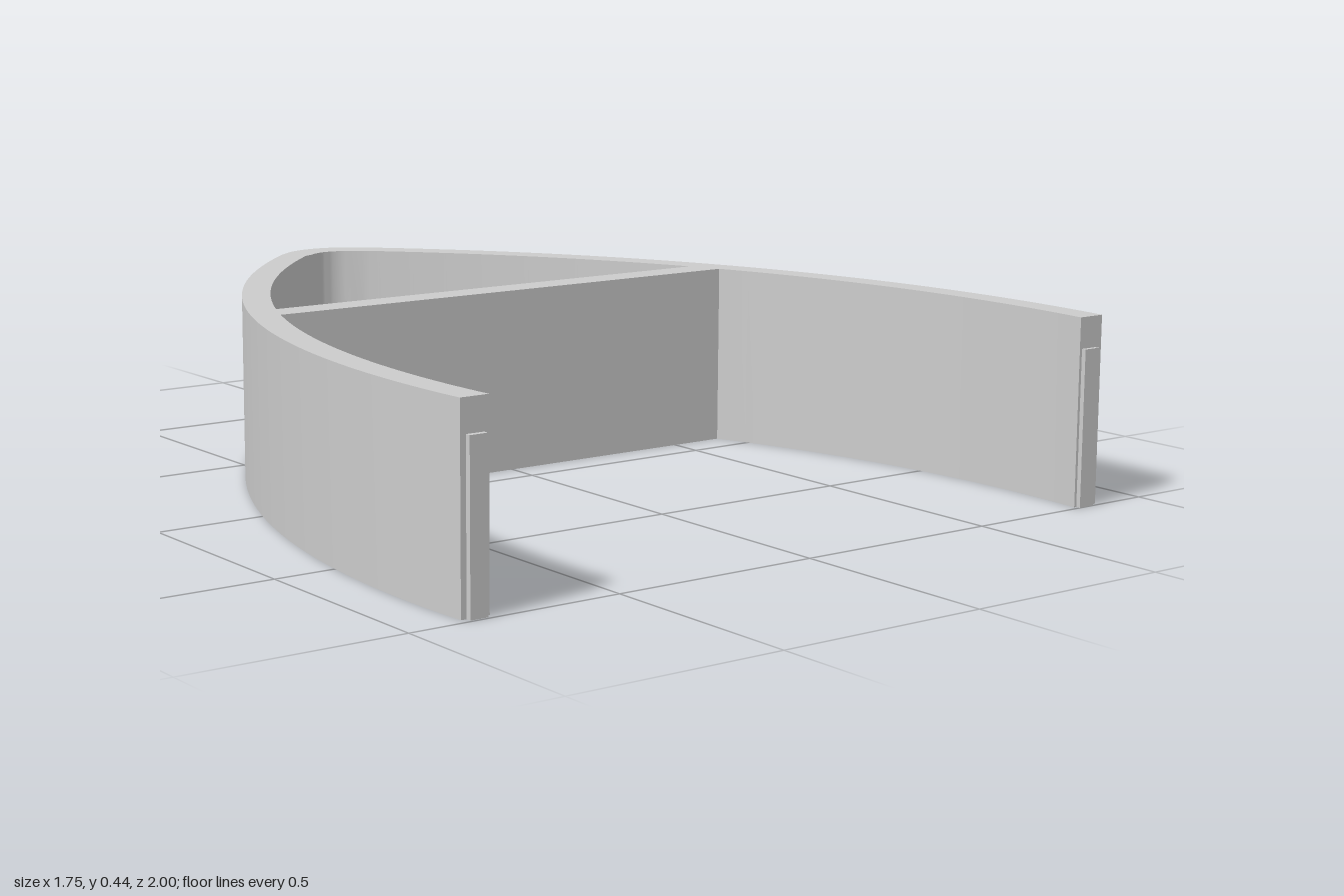
import * as THREE from 'three';
import { toCreasedNormals } from 'three/addons/utils/BufferGeometryUtils.js';

const HEIGHT = 0.435;
const ARC_X = -1.532, ARC_Z = 0.8;   // centre of the arc of the +x wall
const R_OUT = 2.407, R_IN = 2.34;
const TIP_Z = -0.84;                 // centre of the rounded tip

// Plan points (x, -z) along the +x wall between two depths
function wall(r, z0, z1, n = 40) {
  const a0 = Math.asin((z0 - ARC_Z) / r), a1 = Math.asin((z1 - ARC_Z) / r);
  return Array.from({ length: n + 1 }, (_, i) => {
    const a = a0 + (a1 - a0) * i / n;
    return new THREE.Vector2(ARC_X + r * Math.cos(a), -(ARC_Z + r * Math.sin(a)));
  });
}

// Rounded tip, from the -x side to the +x side
function tip(r, n = 16) {
  const half = 0.74;
  return Array.from({ length: n + 1 }, (_, i) => {
    const a = -half + 2 * half * i / n;
    return new THREE.Vector2(r * Math.sin(a), -TIP_Z + r * Math.cos(a));
  });
}

const mirror = (pts) => pts.map((p) => new THREE.Vector2(-p.x, p.y)).reverse();

export function createModel() {
  const group = new THREE.Group();
  const grey = new THREE.MeshStandardMaterial({ color: 0xcccccc });
  const endRight = 0.981, endLeft = 0.989;
  grey.name = 'lightGrey';

  // Pointed arch outline with an open front bay, plus the closed bay behind the crossbar
  const outline = new THREE.Shape([
    ...mirror(wall(R_OUT, -0.945, endRight)),
    ...tip(0.16),
    ...wall(R_OUT, -0.945, endLeft),
    ...wall(R_IN, endLeft, -0.082),
    ...mirror(wall(R_IN, endRight, -0.082)),
  ]);
  // The hole runs counter-clockwise so that its walls face into the bay
  outline.holes.push(new THREE.Path([
    ...mirror(wall(R_IN, -0.89, -0.16)),
    ...tip(0.086),
    ...wall(R_IN, -0.89, -0.16),
  ].reverse()));
  const frameGeometry = new THREE.ExtrudeGeometry(outline, { depth: HEIGHT, bevelEnabled: false });
  frameGeometry.rotateX(-Math.PI / 2);
  const frame = new THREE.Mesh(toCreasedNormals(frameGeometry, 0.4), grey);
  frame.name = 'archFrameWithCrossbar';
  group.add(frame);

  // Small locating tongues on the free ends
  const tongue = (name, x, z0, z1) => {
    const mesh = new THREE.Mesh(new THREE.BoxGeometry(0.042, 0.363, z1 - z0 + 0.01), grey);
    mesh.position.set(x, 0.1815, (z0 - 0.01 + z1) / 2);
    mesh.name = name;
    group.add(mesh);
  };
  tongue('rightEndTongue', -0.834, endRight, 0.994);
  tongue('leftEndTongue', 0.828, endLeft, 1.0);

  return group;
}
